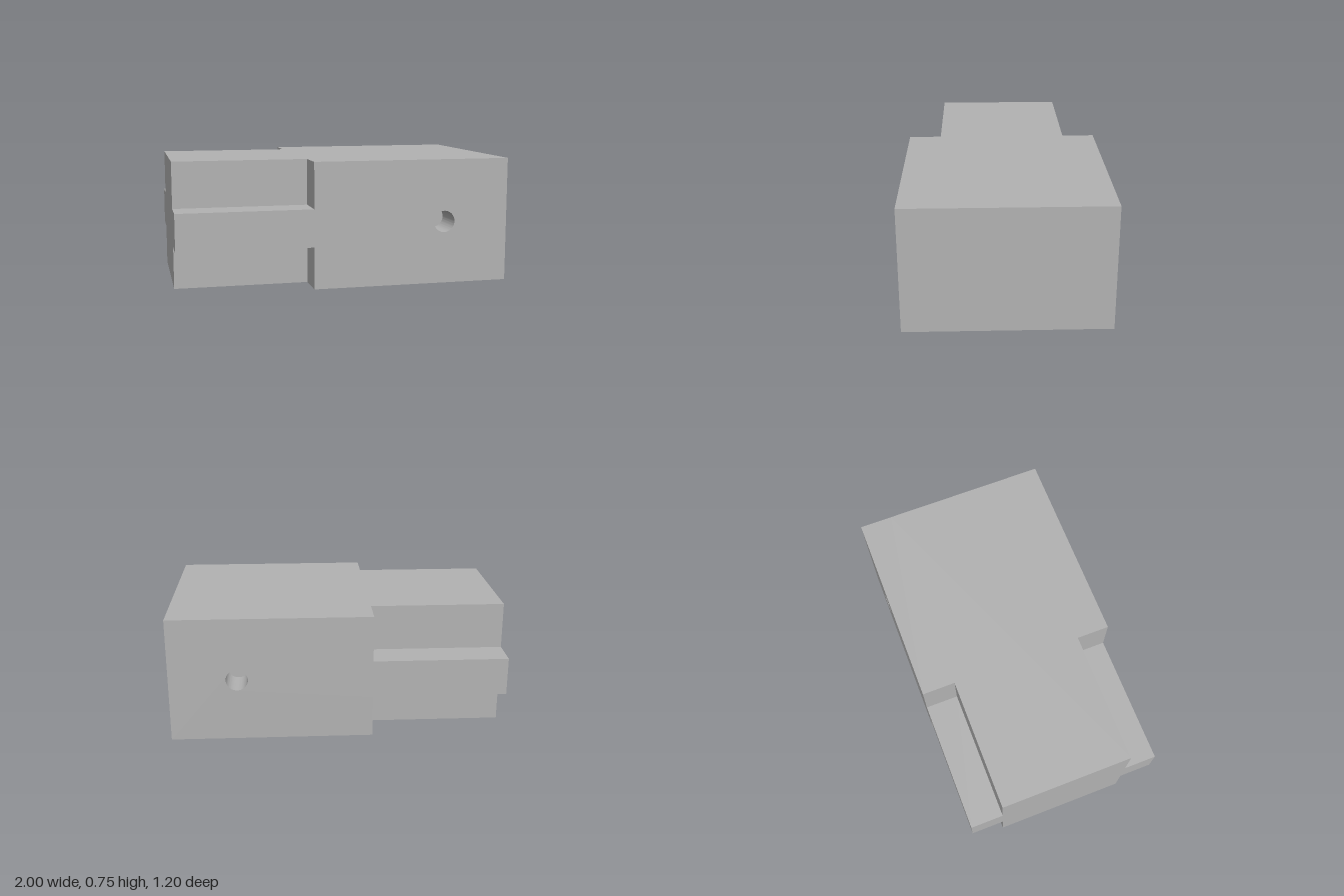
import * as THREE from 'three';
import { toCreasedNormals } from 'three/addons/utils/BufferGeometryUtils.js';

const HEIGHT = 0.75, STEP_X = -0.2;
const CORE_Z = 0.4, OUTER_Z = 0.6;
const RAIL_BOTTOM = 0.25, RAIL_TOP = 0.475;

export function createModel() {
  const model = new THREE.Group();
  model.name = 'slidingBlock';
  const grey = new THREE.MeshStandardMaterial({ color: 0xb2b2b2 });
  grey.name = 'plain grey';

  // Full-length central block; it also closes the bottom of both holes
  const core = new THREE.Mesh(new THREE.BoxGeometry(2, HEIGHT, 2 * CORE_Z), grey);
  core.name = 'coreBlock';
  core.position.y = HEIGHT / 2;
  model.add(core);

  // Side cheek: a tall block with a narrow rail running out to the end
  const outline = new THREE.Shape([
    [1, 0], [1, HEIGHT], [STEP_X, HEIGHT], [STEP_X, RAIL_TOP],
    [-1, RAIL_TOP], [-1, RAIL_BOTTOM], [STEP_X, RAIL_BOTTOM], [STEP_X, 0],
  ].map(([x, y]) => new THREE.Vector2(x, y)));

  // Round blind hole
  const hole = new THREE.Path();
  hole.absarc(0.6, HEIGHT / 2, 0.065, 0, Math.PI * 2, true);
  outline.holes.push(hole);

  const cheek = toCreasedNormals(new THREE.ExtrudeGeometry(outline, {
    depth: OUTER_Z - CORE_Z, bevelEnabled: false, curveSegments: 32,
  }), 0.6);

  // The same cheek on the front and back
  for (const [name, z] of [['frontCheek', CORE_Z], ['backCheek', -OUTER_Z]]) {
    const mesh = new THREE.Mesh(cheek, grey);
    mesh.name = name;
    mesh.position.z = z;
    model.add(mesh);
  }
  return model;
}
